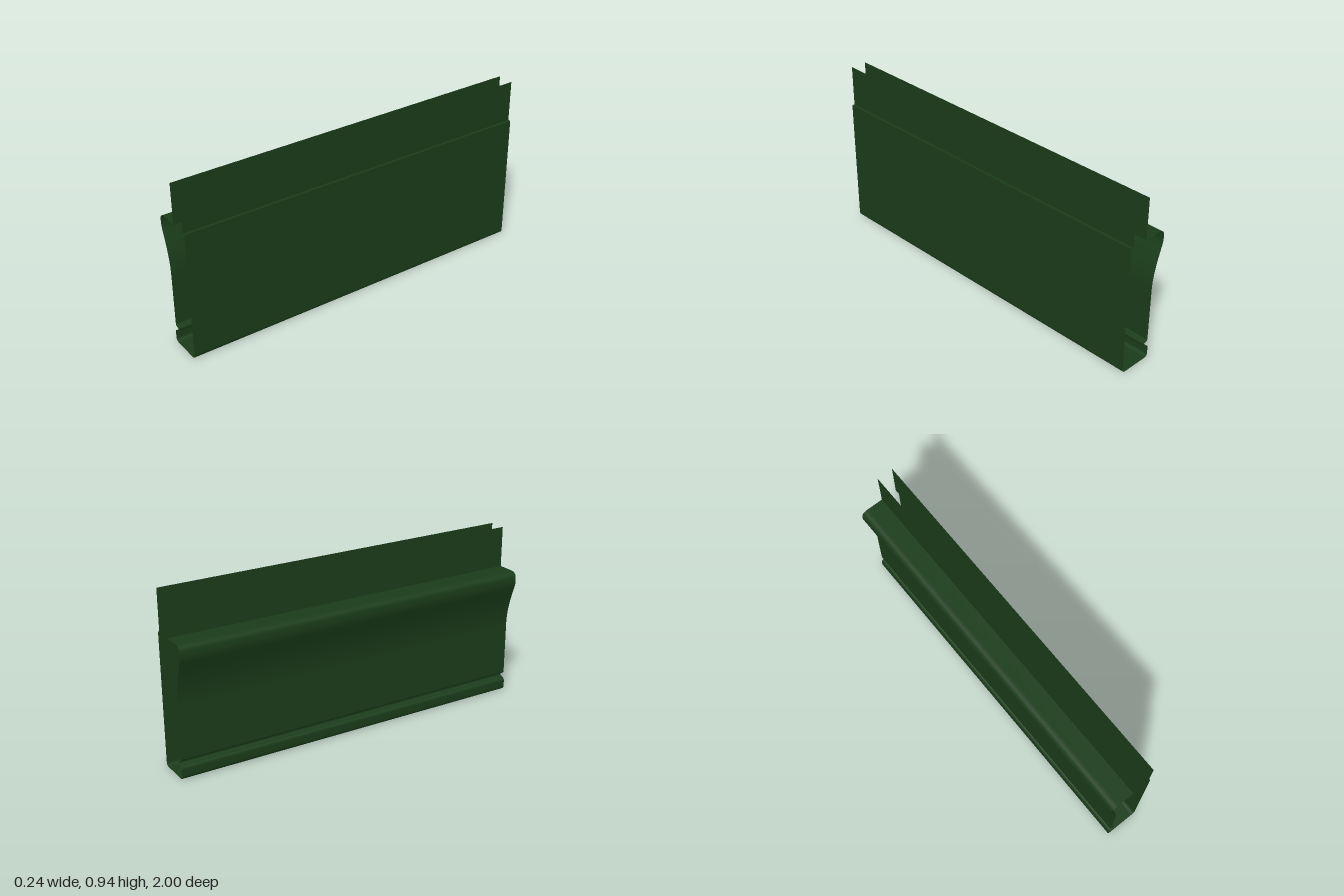
import * as THREE from 'three';

const LENGTH = 2;
const material = new THREE.MeshStandardMaterial({ color: 0x1a3c1a, side: THREE.DoubleSide });

// Thin sheet: an (x, y) profile swept straight along z, smooth across its points
function sheet(name, points) {
  const geometry = new THREE.PlaneGeometry(1, 1, points.length - 1, 1);
  const position = geometry.attributes.position;
  for (let i = 0; i < position.count; i++) {
    const p = points[i % points.length];
    position.setXYZ(i, p.x, p.y, i < points.length ? LENGTH / 2 : -LENGTH / 2);
  }
  geometry.computeVertexNormals();
  const mesh = new THREE.Mesh(geometry, material);
  mesh.name = name;
  return mesh;
}

const line = (...pairs) => pairs.map(([x, y]) => new THREE.Vector2(x, y));

// Rounded corner from a to b, pulled towards corner c
const bend = (a, c, b, n = 6) =>
  new THREE.QuadraticBezierCurve(...line(a, c, b)).getPoints(n);

export function createModel() {
  const model = new THREE.Group();
  model.name = 'mouldingStrip';

  // Two upright flanges leaving an open slot along the top
  model.add(sheet('innerFlange', line([0.013, 0.94], [0.013, 0.716])));
  model.add(sheet('outerFlange', line([0.103, 0.714], [0.103, 0.94])));
  model.add(sheet('outerFlangeStep', line([0.118, 0.714], [0.103, 0.714])));

  // Rounded lip over a concave cove, running down into the straight face
  model.add(sheet('lipAndCove', [
    ...line([0.013, 0.716], [-0.075, 0.716]),
    ...bend([-0.085, 0.716], [-0.118, 0.714], [-0.118, 0.677]),
    ...bend([-0.118, 0.664], [-0.118, 0.652], [-0.113, 0.635], 3),
    ...new THREE.CubicBezierCurve(
      ...line([-0.111, 0.628], [-0.082, 0.55], [-0.059, 0.475], [-0.059, 0.4])
    ).getPoints(12),
  ]));
  model.add(sheet('straightFace', line([-0.059, 0.4], [-0.059, 0.108])));

  // Small groove between the face and the foot bead
  model.add(sheet('groove', [
    ...bend([-0.059, 0.108], [-0.059, 0.097], [-0.048, 0.096], 4),
    ...bend([-0.044, 0.096], [-0.035, 0.095], [-0.035, 0.086], 4),
    ...bend([-0.035, 0.082], [-0.035, 0.073], [-0.046, 0.072], 4),
  ]));

  // Foot bead, underside and flat back panel
  model.add(sheet('footBead', [
    ...bend([-0.046, 0.072], [-0.066, 0.071], [-0.066, 0.05]),
    ...bend([-0.066, 0.022], [-0.066, 0], [-0.044, 0]),
    ...line([0.096, 0]),
    ...bend([0.098, 0], [0.118, 0], [0.118, 0.022]),
  ]));
  model.add(sheet('flatPanel', line([0.118, 0.022], [0.118, 0.714])));

  return model;
}
